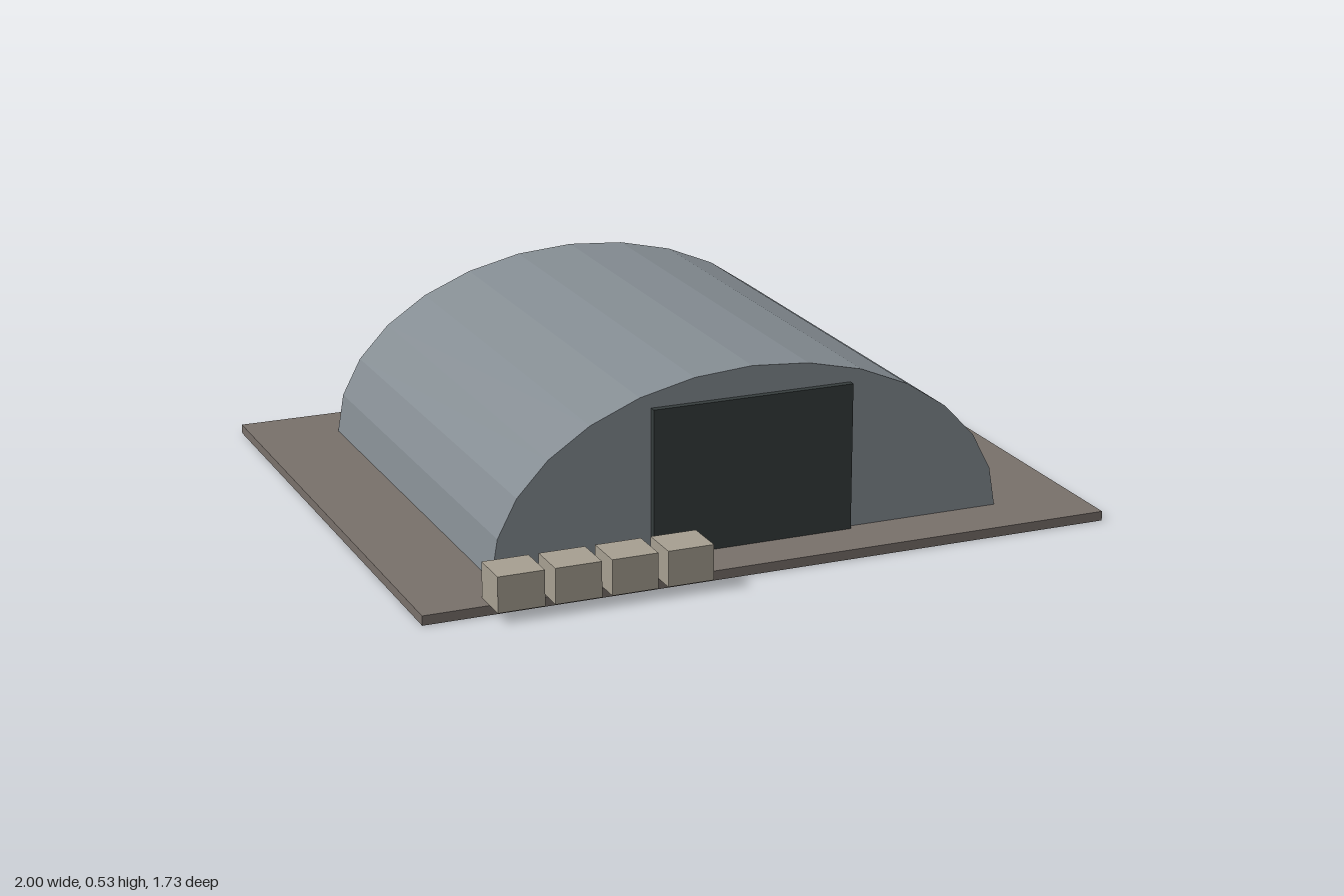
import * as THREE from 'three';

const material = (name, color) => {
  const m = new THREE.MeshStandardMaterial({ color });
  m.name = name;
  return m;
};

export function createModel() {
  const model = new THREE.Group();
  model.name = 'archedHangar';
  const earth = material('brownConcrete', 0x78706a);
  const steel = material('greySteel', 0x848c92);
  const dark = material('darkGate', 0x353c3c);
  const stone = material('paleStone', 0xa69f91);

  const baseTop = 0.027, centreZ = -0.03;

  // Box placed by its centre in x and z and by its underside in y
  const addBox = (name, mat, w, h, d, x, y, z) => {
    const mesh = new THREE.Mesh(new THREE.BoxGeometry(w, h, d), mat);
    mesh.name = name;
    mesh.position.set(x, y + h / 2, z);
    model.add(mesh);
  };

  // Ground slab
  addBox('groundSlab', earth, 2, baseTop, 1.67, 0, 0, centreZ);

  // Half-elliptical hall with 14 flat roof panels
  const panels = 14, halfWidth = 0.75, height = 0.5, length = 1.333;
  const arch = new THREE.Shape();
  for (let i = 0; i <= panels; i++) {
    const a = (i / panels) * Math.PI;
    const x = halfWidth * Math.cos(a), y = height * Math.sin(a);
    if (i === 0) arch.moveTo(x, y);
    else arch.lineTo(x, y);
  }
  arch.closePath();
  const hall = new THREE.Mesh(
    new THREE.ExtrudeGeometry(arch, { depth: length, bevelEnabled: false }), steel);
  hall.name = 'archedHall';
  hall.position.set(0, baseTop, centreZ - length / 2);
  model.add(hall);

  // Front gate, standing slightly proud of the end wall
  addBox('frontGate', dark, 0.587, 0.418, 0.04, 0, baseTop, 0.636);

  // Row of barrier blocks along the front edge
  for (let i = 0; i < 4; i++) {
    addBox(`barrierBlock${i + 1}`, stone, 0.13, 0.1, 0.12, -0.75 + i * 0.1583, baseTop, 0.805);
  }
  return model;
}
